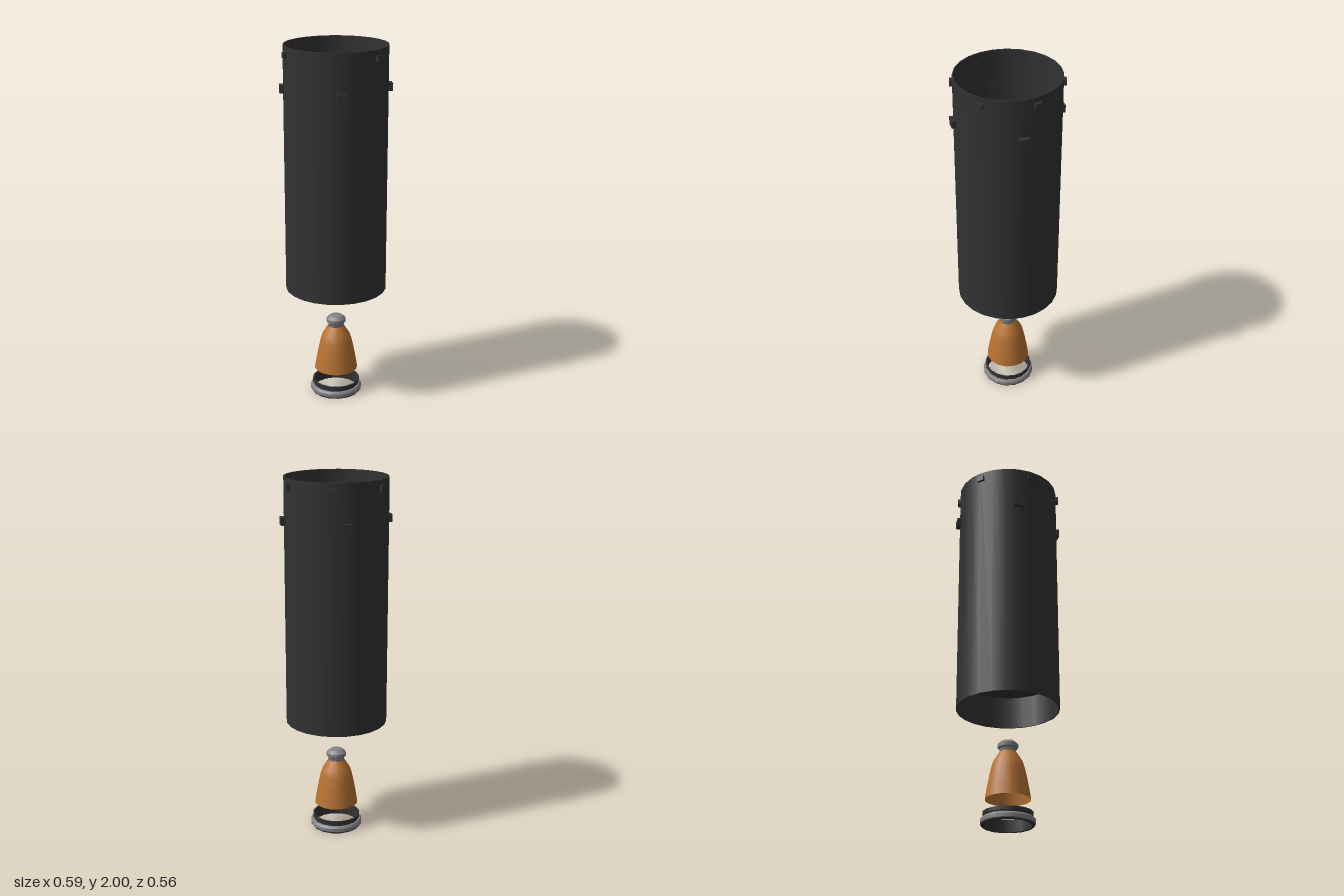
import * as THREE from 'three';
import { mergeGeometries } from 'three/addons/utils/BufferGeometryUtils.js';

const mat = (name, color, side = THREE.FrontSide) => {
  const m = new THREE.MeshStandardMaterial({ color, side });
  m.name = name;
  return m;
};

// Revolves a profile with a sharp edge at every point (counter-clockwise = outward)
function turned(points, sides) {
  const bands = [];
  for (let i = 0; i < points.length - 1; i++) {
    const pair = [points[i], points[i + 1]].map(([r, y]) => new THREE.Vector2(r, y));
    bands.push(new THREE.LatheGeometry(pair, sides));
  }
  return mergeGeometries(bands);
}

export function createModel() {
  const model = new THREE.Group();
  model.name = 'rocketStage';
  const charcoal = mat('charcoal', 0x323232, THREE.DoubleSide);
  const copper = mat('copper', 0xb87333, THREE.DoubleSide);
  const grey = mat('grey', 0x808086, THREE.DoubleSide);

  const add = (name, geometry, material, parent = model) => {
    const mesh = new THREE.Mesh(geometry, material);
    mesh.name = name;
    parent.add(mesh);
    return mesh;
  };

  // Thin-walled tube with an inner bulkhead
  add('tubeShell', turned([[0.28, 0.64], [0.28, 2], [0.274, 2], [0.274, 0.64], [0.28, 0.64]], 24), charcoal);
  const bulkhead = add('bulkhead', new THREE.CircleGeometry(0.276, 24), charcoal);
  bulkhead.rotation.x = -Math.PI / 2;
  bulkhead.position.y = 0.82;

  // Blocks set through the tube wall, evenly spaced around it
  const blockRing = (name, count, start, y, width, height, inner, outer) => {
    const ring = new THREE.Group();
    ring.name = name + 's';
    for (let i = 0; i < count; i++) {
      const a = start + (i / count) * Math.PI * 2;
      const r = (inner + outer) / 2;
      const block = add(name, new THREE.BoxGeometry(width, height, outer - inner), charcoal, ring);
      block.position.set(Math.sin(a) * r, y, Math.cos(a) * r);
      block.rotation.y = a;
    }
    model.add(ring);
  };
  blockRing('rimBlock', 6, Math.PI / 6, 1.957, 0.039, 0.03, 0.268, 0.294);
  blockRing('sideBlock', 4, Math.PI / 4, 1.77, 0.055, 0.042, 0.268, 0.301);

  // Engine: open copper bell under a grey cap
  const bell = [[0.122, 0.14], [0.113, 0.195], [0.102, 0.255], [0.09, 0.31], [0.079, 0.345], [0.045, 0.4]]
    .map(([r, y]) => new THREE.Vector2(r, y));
  add('engineBell', new THREE.LatheGeometry(bell, 16), copper);
  add('engineCap', turned([[0.043, 0.4], [0.046, 0.416], [0.055, 0.424], [0.055, 0.443], [0.036, 0.46], [0, 0.467]], 12), grey);

  // Base ring: grey bevelled rim with a dark collar and liner
  add('baseRim', turned([[0.142, 0.007], [0.146, 0.012], [0.146, 0.03], [0.138, 0.041], [0.126, 0.041]], 16), grey);
  add('baseCollar', turned([[0.128, 0.041], [0.128, 0.05], [0.134, 0.052], [0.134, 0.071], [0.126, 0.071],
    [0.126, 0.002], [0.137, 0], [0.142, 0.007]], 16), charcoal);

  return model;
}
